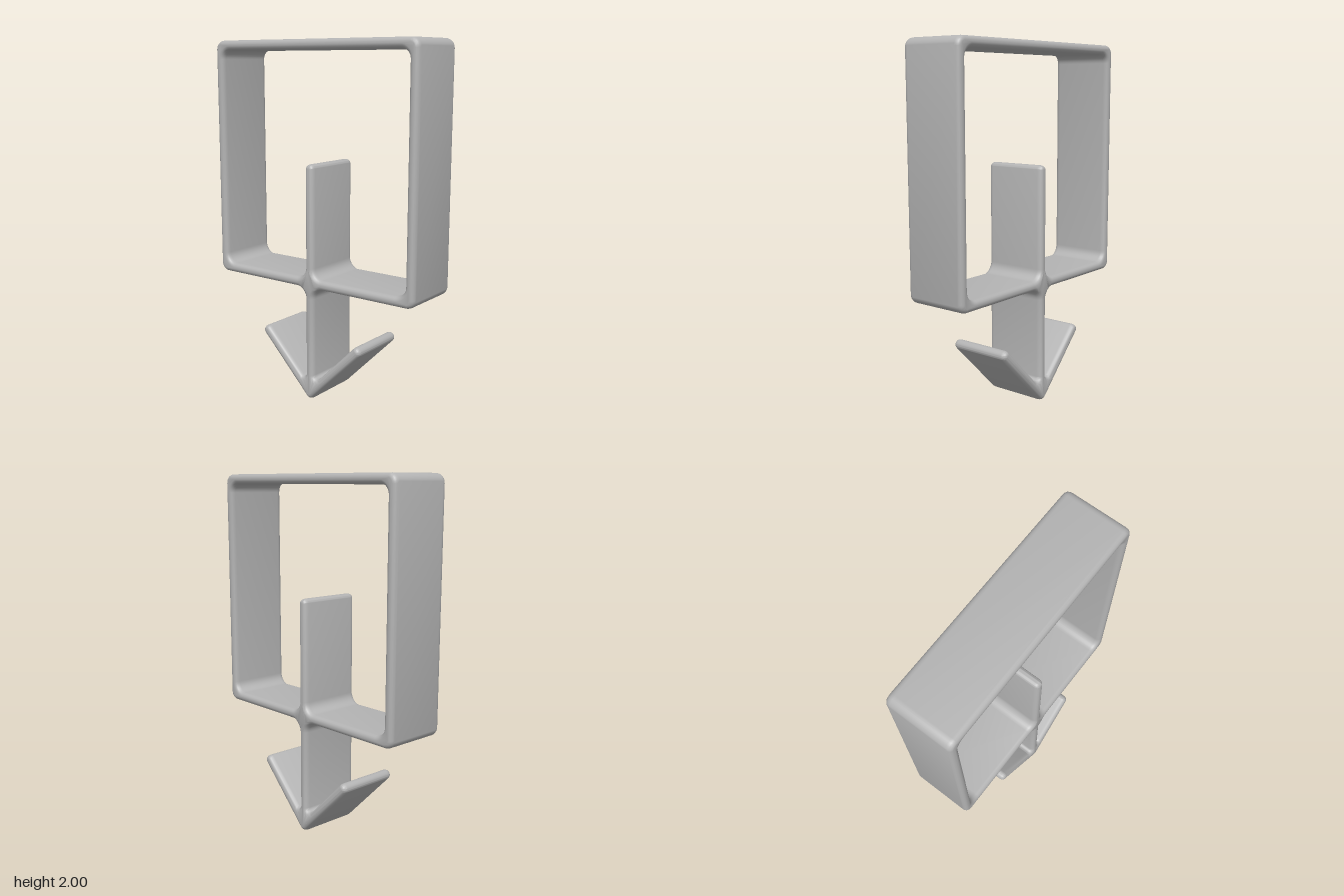
import * as THREE from 'three';
import { toCreasedNormals } from 'three/addons/utils/BufferGeometryUtils.js';

// Traces a closed outline of [x, y, radius] corners, each rounded with a true arc.
function roundedOutline(path, corners) {
  const n = corners.length;
  const at = (i) => new THREE.Vector2(corners[(i + n) % n][0], corners[(i + n) % n][1]);
  for (let i = 0; i < n; i++) {
    const p = at(i), r = corners[i][2];
    const a = at(i - 1).sub(p).normalize();
    const b = at(i + 1).sub(p).normalize();
    const half = Math.acos(a.dot(b)) / 2;
    const trim = r / Math.tan(half);
    const c = a.clone().add(b).normalize().multiplyScalar(r / Math.sin(half)).add(p);
    const start = a.clone().multiplyScalar(trim).add(p);
    const end = b.clone().multiplyScalar(trim).add(p);
    const clockwise = a.cross(b) > 0;
    if (i === 0) path.moveTo(start.x, start.y);
    path.absarc(c.x, c.y, r, start.clone().sub(c).angle(), end.clone().sub(c).angle(), clockwise);
  }
  path.closePath();
  return path;
}

// Mirrors the +x corners to complete a symmetric outline.
const mirrored = (side) => [...side].reverse().map(([x, y, r]) => [-x, y, r]);

export function createModel() {
  const model = new THREE.Group();
  const grey = new THREE.MeshStandardMaterial({ color: 0xb3b3b3 });
  grey.name = 'plain grey';

  const half = 0.0275; // half the wall thickness
  const tipRadius = 0.027;

  // Outer edge: arrowhead, lower shaft and square frame
  const outerSide = [
    [0.354, 0.342, tipRadius],
    [0.314, 0.382, tipRadius],
    [half, 0.0955, 0.02],
    [half, 0.65, 0.06],
    [0.675, 0.65, 0.05],
    [0.675, 2.0, 0.05],
  ];
  const outline = roundedOutline(new THREE.Shape(),
    [[0, -0.012, 0.03], ...outerSide, ...mirrored(outerSide)]);

  // Window of the frame, with the upper shaft standing in it
  const windowSide = [
    [half, 1.34, tipRadius],
    [half, 0.705, 0.06],
    [0.62, 0.705, 0.06],
    [0.62, 1.945, 0.05],
  ];
  outline.holes.push(roundedOutline(new THREE.Path(), [...windowSide, ...mirrored(windowSide)]));

  const depth = 0.37, bevel = 0.03;
  const geometry = new THREE.ExtrudeGeometry(outline, {
    depth: depth - 2 * bevel,
    bevelThickness: bevel,
    bevelSize: 0.023,
    bevelOffset: -0.023,
    bevelSegments: 4,
    curveSegments: 4,
  });
  geometry.translate(0, 0, bevel - depth / 2);

  // Slight swelling where the bars meet
  const pos = geometry.attributes.position;
  for (let i = 0; i < pos.count; i++) {
    const x = pos.getX(i), y = pos.getY(i);
    const swell = [0.678, 0.07].reduce(
      (sum, joint) => sum + Math.exp(-(x * x + (y - joint) ** 2) / 0.0025), 0);
    pos.setZ(i, pos.getZ(i) * (1 + 0.05 * swell));
  }

  const cutter = new THREE.Mesh(toCreasedNormals(geometry, 0.8), grey);
  cutter.name = 'squareFrameWithArrow';
  model.add(cutter);
  return model;
}
